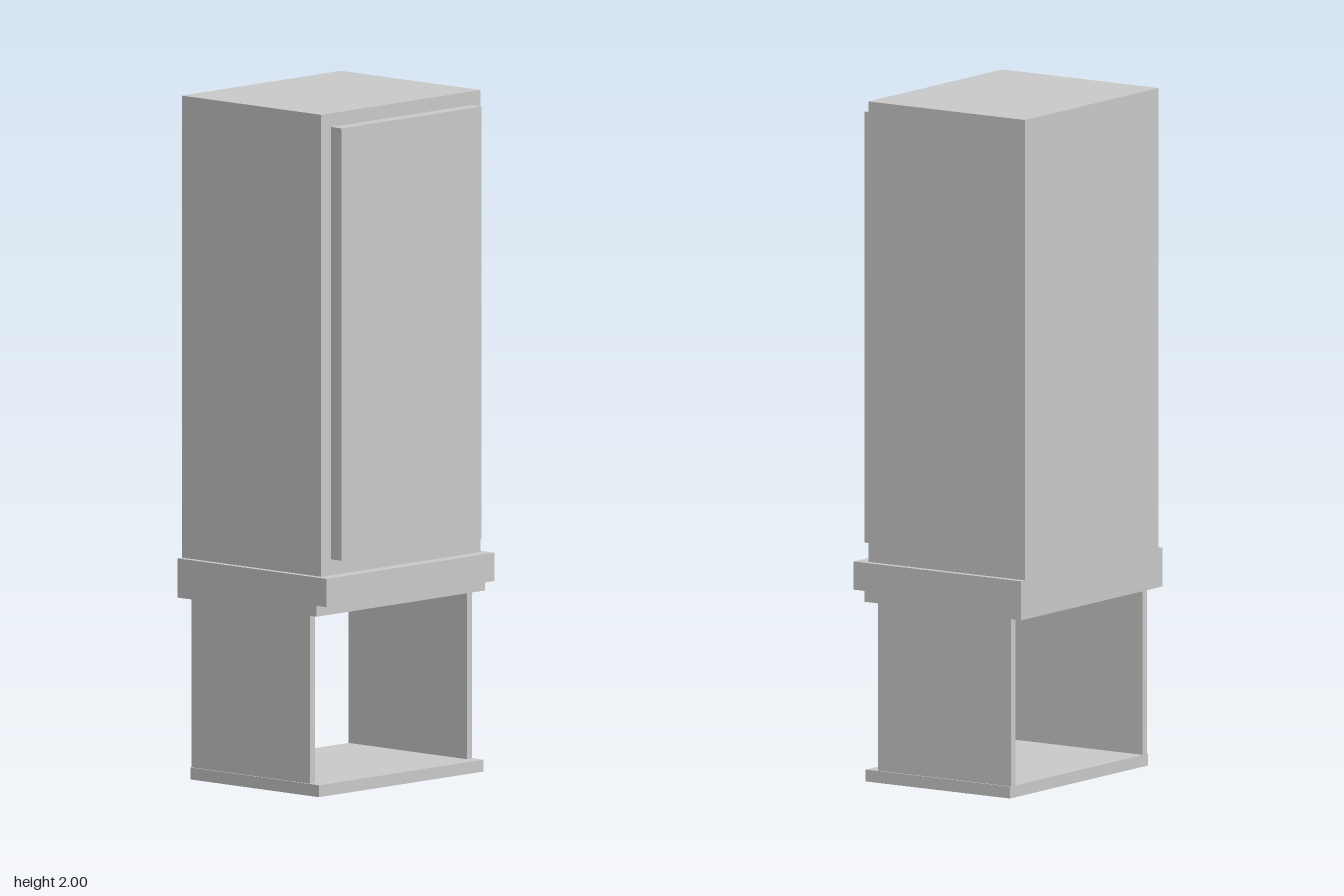
import * as THREE from 'three';

const material = new THREE.MeshStandardMaterial({ color: 0xcccccc, flatShading: true });

// Box given by its extents on x and y, and on z as min and max
function addBox(group, name, [x0, x1], [y0, y1], [z0, z1]) {
  const mesh = new THREE.Mesh(new THREE.BoxGeometry(x1 - x0, y1 - y0, z1 - z0), material);
  mesh.position.set((x0 + x1) / 2, (y0 + y1) / 2, (z0 + z1) / 2);
  mesh.name = name;
  group.add(mesh);
}

export function createModel() {
  const cabinet = new THREE.Group();
  cabinet.name = 'cabinet';

  // Open lower stand: base board and two side panels
  addBox(cabinet, 'baseBoard', [-0.255, 0.257], [0, 0.035], [-0.348, 0.348]);
  for (const [name, z] of [['frontPanel', 0.332], ['rearPanel', -0.332]]) {
    addBox(cabinet, name, [-0.255, 0.216], [0.035, 0.53], [z - 0.011, z + 0.011]);
  }

  // Stepped ledge, overhanging on the door side
  const ledge = new THREE.Shape([
    [-0.3, 0.53], [0.255, 0.53], [0.255, 0.562], [0.294, 0.562], [0.294, 0.645], [-0.3, 0.645],
  ].map(([x, y]) => new THREE.Vector2(x, y)));
  const ledgeMesh = new THREE.Mesh(
    new THREE.ExtrudeGeometry(ledge, { depth: 0.712, bevelEnabled: false }), material);
  ledgeMesh.position.z = -0.356;
  ledgeMesh.name = 'ledge';
  cabinet.add(ledgeMesh);

  // Tall upper body with a raised door
  addBox(cabinet, 'upperBody', [-0.3, 0.255], [0.645, 2], [-0.337, 0.337]);
  addBox(cabinet, 'door', [0.255, 0.298], [0.692, 1.96], [-0.296, 0.296]);

  return cabinet;
}
